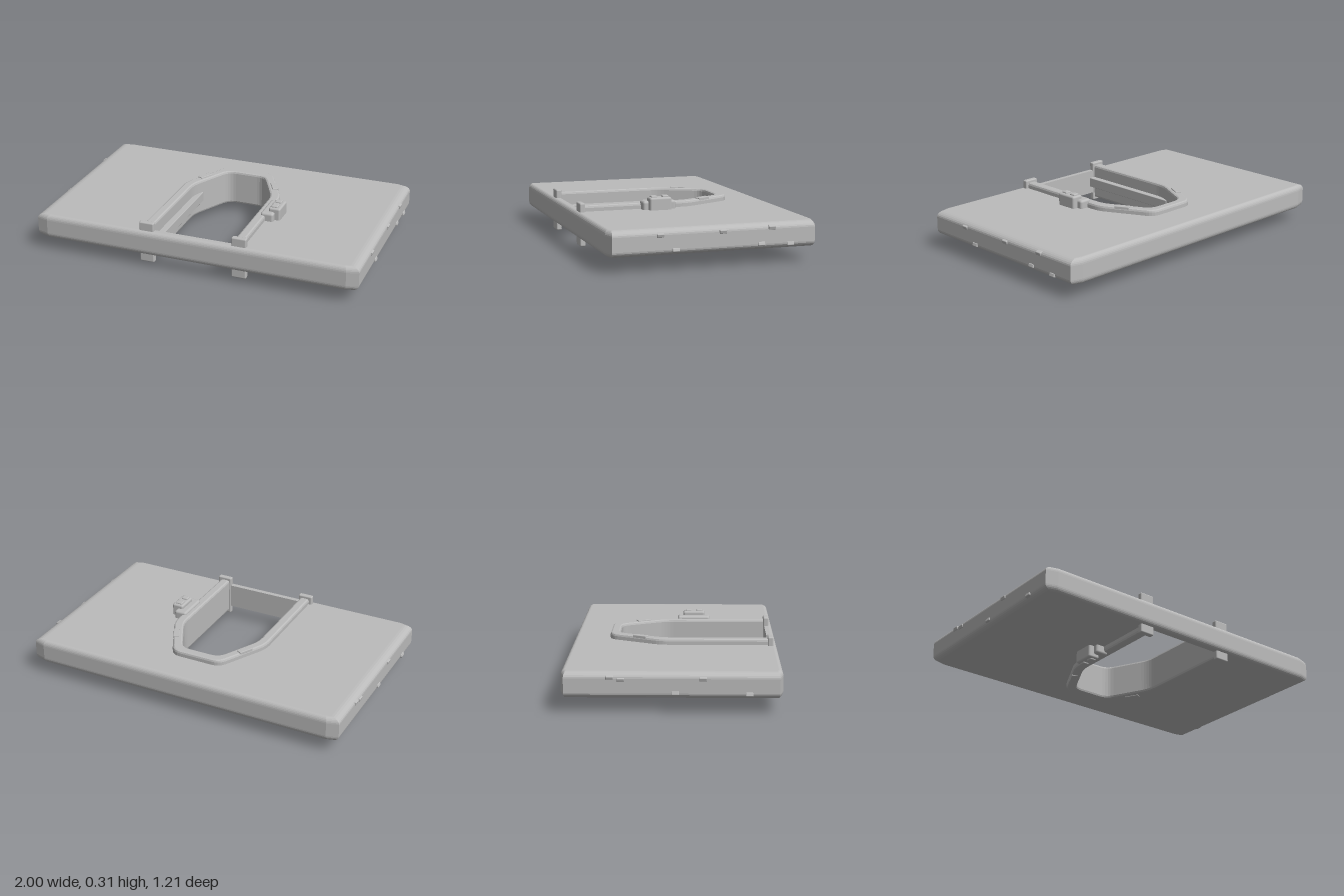
import * as THREE from 'three';
import { RoundedBoxGeometry } from 'three/addons/geometries/RoundedBoxGeometry.js';

const MID = 0.1625; // height of the middle of the slab
const HALF = 0.0745; // half thickness of the slab
const BACK = 0.605;
const BEVEL = 0.025, BEVEL_H = 0.034;

const grey = new THREE.MeshStandardMaterial({ color: 0xbbbbbb });
grey.name = 'plain grey';

function add(parent, name, geometry, x = 0, y = 0, z = 0) {
  const mesh = new THREE.Mesh(geometry, grey);
  mesh.name = name;
  mesh.position.set(x, y, z);
  parent.add(mesh);
  return mesh;
}

function box(parent, name, [x0, x1], [y0, y1], [z0, z1], r = 0.006) {
  const g = new RoundedBoxGeometry(x1 - x0, y1 - y0, z1 - z0, 2, r);
  return add(parent, name, g, (x0 + x1) / 2, (y0 + y1) / 2, (z0 + z1) / 2);
}

// Doorway outline (x, -z) from right foot to left foot; d grows it outwards
function archPoints(d, foot) {
  const k = d / 0.06;
  const side = 0.252 + d;
  const corners = [
    [side, -foot], [side, 0.065 + 0.015 * k],
    [0.12 + 0.035 * k, 0.327 + d],
  ].map(([x, y]) => new THREE.Vector2(x, y));
  const all = [...corners, ...corners.slice().reverse().map(p => new THREE.Vector2(-p.x, p.y))];
  const out = [all[0]];
  for (let i = 1; i < all.length - 1; i++) {
    const p = all[i];
    const toward = q => p.clone().add(q.clone().sub(p).setLength(0.05));
    const curve = new THREE.QuadraticBezierCurve(toward(all[i - 1]), p, toward(all[i + 1]));
    out.push(...curve.getPoints(5));
  }
  out.push(all[all.length - 1]);
  return out;
}

// Extrude a plan outline to a bevelled slab centred on y = 0
function slab(points, half, size, thick, segments) {
  const g = new THREE.ExtrudeGeometry(new THREE.Shape(points), {
    depth: 2 * (half - thick), bevelEnabled: true, bevelSize: size,
    bevelThickness: thick, bevelOffset: -size, bevelSegments: segments,
  });
  g.translate(0, 0, -(half - thick));
  g.rotateX(-Math.PI / 2);
  return g;
}

function wallGeometry() {
  const outer = [
    [-0.993, -0.585], [-0.993, 0.585], [-0.96, BACK], [0.96, BACK],
    [0.993, 0.585], [0.993, -0.585], [0.96, -BACK],
  ].map(([x, y]) => new THREE.Vector2(x, y));
  const pts = [...archPoints(0.03, BACK), new THREE.Vector2(-0.96, -BACK), ...outer];
  const g = slab(pts, HALF, BEVEL, BEVEL_H, 6);
  // stretch the rounding at the two short ends
  const p = g.attributes.position;
  for (let i = 0; i < p.count; i++) {
    const x = p.getX(i);
    if (Math.abs(x) > 0.92) p.setX(i, Math.sign(x) * (0.993 - (0.993 - Math.abs(x)) * 2.1));
  }
  g.computeVertexNormals();
  return g;
}

// Sill with the same rounded front edge as the slab
function sillGeometry() {
  const pts = [[0.555, -HALF]];
  for (const s of [-1, 1]) {
    for (let i = 0; i <= 6; i++) {
      const a = (s < 0 ? 6 - i : i) / 6 * Math.PI / 2;
      pts.push([BACK - BEVEL + BEVEL * Math.cos(a), s * (HALF - BEVEL_H + BEVEL_H * Math.sin(a))]);
    }
  }
  pts.push([0.555, HALF]);
  const shape = new THREE.Shape(pts.map(([z, y]) => new THREE.Vector2(-z, y)));
  const g = new THREE.ExtrudeGeometry(shape, { depth: 0.68, bevelEnabled: false });
  g.translate(0, 0, -0.34);
  g.rotateY(Math.PI / 2);
  return g;
}

// Control box and frame plates for one face of the slab
function faceDetails(name) {
  const g = new THREE.Group();
  g.name = name;
  box(g, 'controlPlate', [0.282, 0.362], [0.06, 0.125], [0.012, 0.212], 0.015);
  box(g, 'controlBox', [0.322, 0.394], [0.06, 0.148], [0.047, 0.18], 0.012);
  for (const z of [0.08, 0.148]) {
    box(g, 'button', [0.335, 0.375], [0.14, 0.157], [z - 0.019, z + 0.019], 0.007);
  }
  for (const s of [-1, 1]) {
    const chip = box(g, 'framePlate', [-0.018, 0.018], [0.095, 0.115], [-0.045, 0.045], 0.004);
    chip.position.x = s * 0.229;
    chip.position.z = -0.2;
    chip.rotation.y = s * 0.48;
  }
  return g;
}

export function createModel() {
  const model = new THREE.Group();
  model.name = 'wallPanelWithDoorway';

  add(model, 'wall', wallGeometry(), 0, MID, 0);
  add(model, 'sill', sillGeometry(), 0, MID, 0);

  // Door frame passing through the slab
  const band = [...archPoints(0.06, 0.57), ...archPoints(0, 0.57).reverse()];
  add(model, 'doorFrame', slab(band, 0.109, 0.012, 0.014, 2), 0, MID, 0);
  for (const s of [-1, 1]) {
    const foot = box(model, 'frameFoot', [0.24, 0.33], [MID - 0.126, MID + 0.126], [0.55, 0.583], 0.008);
    foot.position.x *= s;
  }

  // Edge of the sliding door showing on one side
  box(model, 'doorEdge', [-0.265, -0.215], [MID - 0.03, MID + 0.03], [-0.13, 0.558], 0.004);

  // Control details on both faces, turned half round for the lower one
  const upper = faceDetails('upperDetails');
  const lower = faceDetails('lowerDetails');
  upper.position.y = lower.position.y = MID;
  lower.rotation.z = Math.PI;
  model.add(upper, lower);

  // Small lugs on the two ends: side, height, z
  const lugs = [
    [1, 0.205, 0.315], [1, 0.115, 0.227], [1, 0.207, -0.042],
    [1, 0.214, -0.328], [1, 0.12, -0.266], [1, 0.112, -0.438],
    [-1, 0.21, -0.335], [-1, 0.2, -0.275], [-1, 0.12, 0.02],
    [-1, 0.205, 0.17], [-1, 0.115, 0.42],
  ];
  for (const [s, y, z] of lugs) {
    const lug = box(model, 'endLug', [0.962, 1], [y - 0.011, y + 0.011], [z - 0.021, z + 0.021], 0.005);
    lug.position.x *= s;
    lug.rotation.z = s * (y > MID ? -0.3 : 0.3);
  }
  return model;
}
